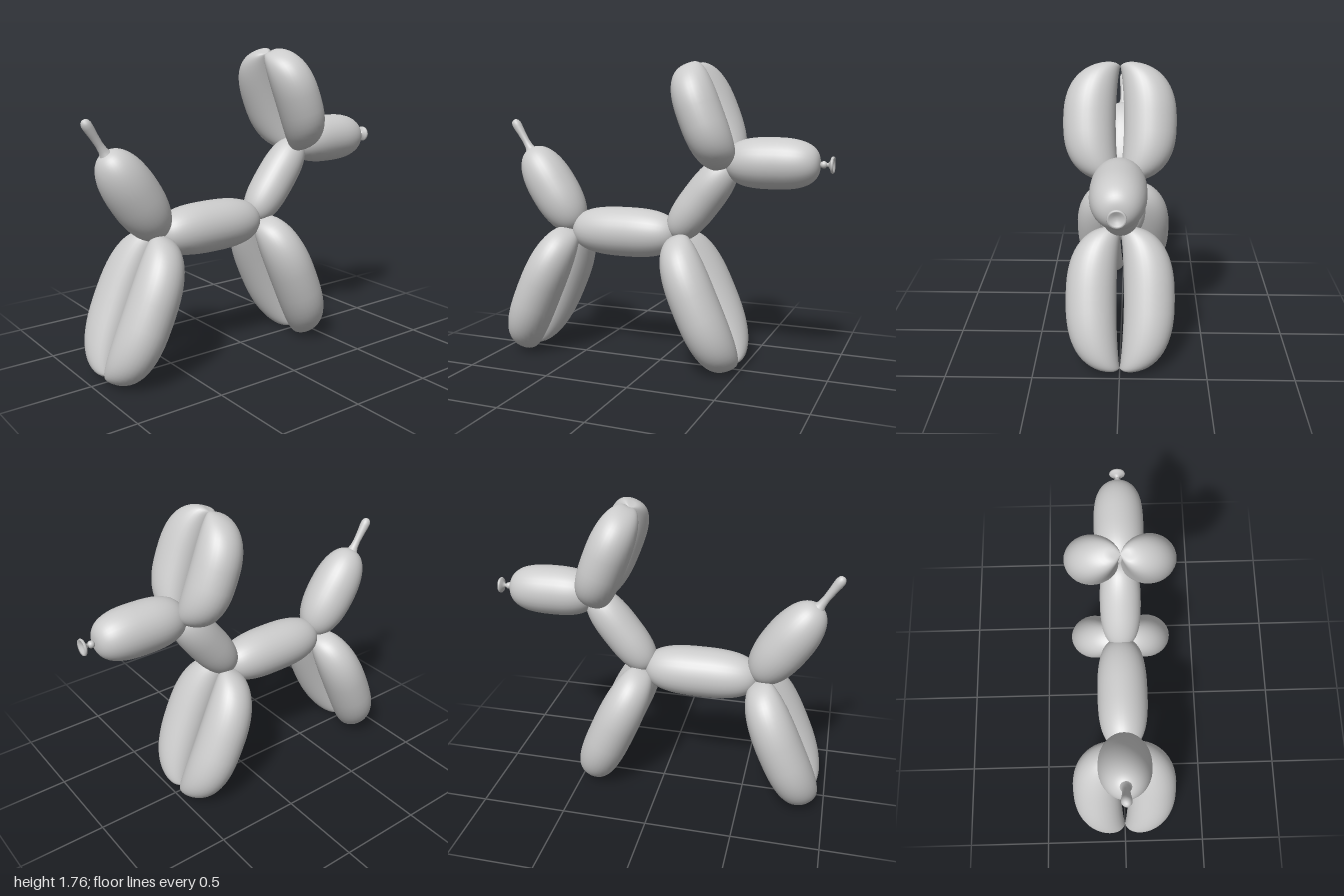
import * as THREE from 'three';
import { mergeVertices } from 'three/addons/utils/BufferGeometryUtils.js';

const material = new THREE.MeshStandardMaterial({ color: 0xcccccc });
const thin = new THREE.MeshStandardMaterial({ color: 0xcccccc, side: THREE.DoubleSide });
const UP = new THREE.Vector3(0, 1, 0);

// Weld the lathe seam and poles so the normals stay smooth.
function weld(geometry) {
  geometry.deleteAttribute('uv');
  geometry.deleteAttribute('normal');
  const welded = mergeVertices(geometry, 1e-5);
  welded.computeVertexNormals();
  return welded;
}

// Place a y-axis geometry between two [z, y] points of the middle plane.
function span(name, geometry, a, b, mat = material) {
  const mesh = new THREE.Mesh(geometry, mat);
  mesh.name = name;
  const from = new THREE.Vector3(0, a[1], a[0]);
  const to = new THREE.Vector3(0, b[1], b[0]);
  mesh.position.copy(from).lerp(to, 0.5);
  mesh.quaternion.setFromUnitVectors(UP, to.sub(from).normalize());
  return mesh;
}

// Inflated segment: side 0 is straight; +1 or -1 bows outward with both tips pinched at x = 0.
function balloon(name, a, b, rx, rz, side = 0, n = 2.7) {
  const half = Math.hypot(b[0] - a[0], b[1] - a[1]) / 2;
  const profile = [];
  for (let i = 0; i <= 32; i++) {
    const t = (i / 32) * Math.PI;
    const c = -Math.cos(t);
    const r = i % 32 === 0 ? 0 : Math.pow(Math.sin(t), 2 / n);
    profile.push(new THREE.Vector2(r, Math.sign(c) * Math.pow(Math.abs(c), 2 / n)));
  }
  const geometry = new THREE.LatheGeometry(profile, 32);
  const p = geometry.attributes.position;
  for (let i = 0; i < p.count; i++) {
    const u = p.getY(i);
    const r = Math.hypot(p.getX(i), p.getZ(i));
    const bow = side * (rx * r + 0.022 * (1 - u * u));
    const x = p.getX(i) * rx + bow;
    // Paired segments dip slightly where they are twisted together.
    const dip = side ? 0.025 * Math.exp(-Math.abs(x) / 0.025) * u ** 5 : 0;
    p.setXYZ(i, x, u * half - dip, p.getZ(i) * rz);
  }
  return span(name, weld(geometry), a, b);
}

// Small turned part; points are [radius, distance along the axis from a to b].
function turned(name, points, a, b, mat) {
  const length = Math.hypot(b[0] - a[0], b[1] - a[1]);
  const profile = points.map(([r, t]) => new THREE.Vector2(r, (t - 0.5) * length));
  return span(name, weld(new THREE.LatheGeometry(profile, 24)), a, b, mat);
}

export function createModel() {
  const model = new THREE.Group();
  model.name = 'balloonDog';

  // Single segments
  model.add(
    balloon('body', [-0.11, 0.772], [0.56, 0.772], 0.148, 0.148),
    balloon('neck', [-0.085, 0.765], [-0.425, 1.21], 0.12, 0.118),
    balloon('snout', [-0.4, 1.207], [-0.925, 1.207], 0.144, 0.144),
    balloon('tail', [0.545, 0.765], [0.865, 1.255], 0.149, 0.147, 0, 2.3),
  );

  // Paired segments
  for (const [prefix, side] of [['left', 1], ['right', -1]]) {
    model.add(
      balloon(prefix + 'HindLeg', [0.9, 0.01], [0.56, 0.785], 0.147, 0.134, side),
      balloon(prefix + 'FrontLeg', [-0.45, 0.01], [-0.11, 0.785], 0.147, 0.134, side),
      balloon(prefix + 'Ear', [-0.415, 1.17], [-0.185, 1.757], 0.138, 0.126, side),
    );
  }

  // Uninflated tail tip
  model.add(turned('tailTip', [
    [0.085, 0], [0.055, 0.09], [0.035, 0.18], [0.024, 0.3], [0.021, 0.45], [0.024, 0.65],
    [0.028, 0.82], [0.028, 0.9], [0.022, 0.96], [0.012, 0.99], [0, 1],
  ], [0.835, 1.2], [0.98, 1.432]));

  // Knot and flared mouth of the balloon
  const knot = new THREE.Mesh(new THREE.SphereGeometry(0.02, 24, 16), material);
  knot.name = 'knot';
  knot.position.set(0, 1.207, -0.944);
  model.add(knot);
  model.add(turned('mouth', [
    [0.012, 0], [0.009, 0.3], [0.012, 0.5], [0.025, 0.65], [0.042, 0.75], [0.047, 0.86],
    [0.044, 1], [0.036, 0.95], [0.02, 0.8], [0, 0.72],
  ], [-0.94, 1.207], [-1, 1.207], thin));

  return model;
}
